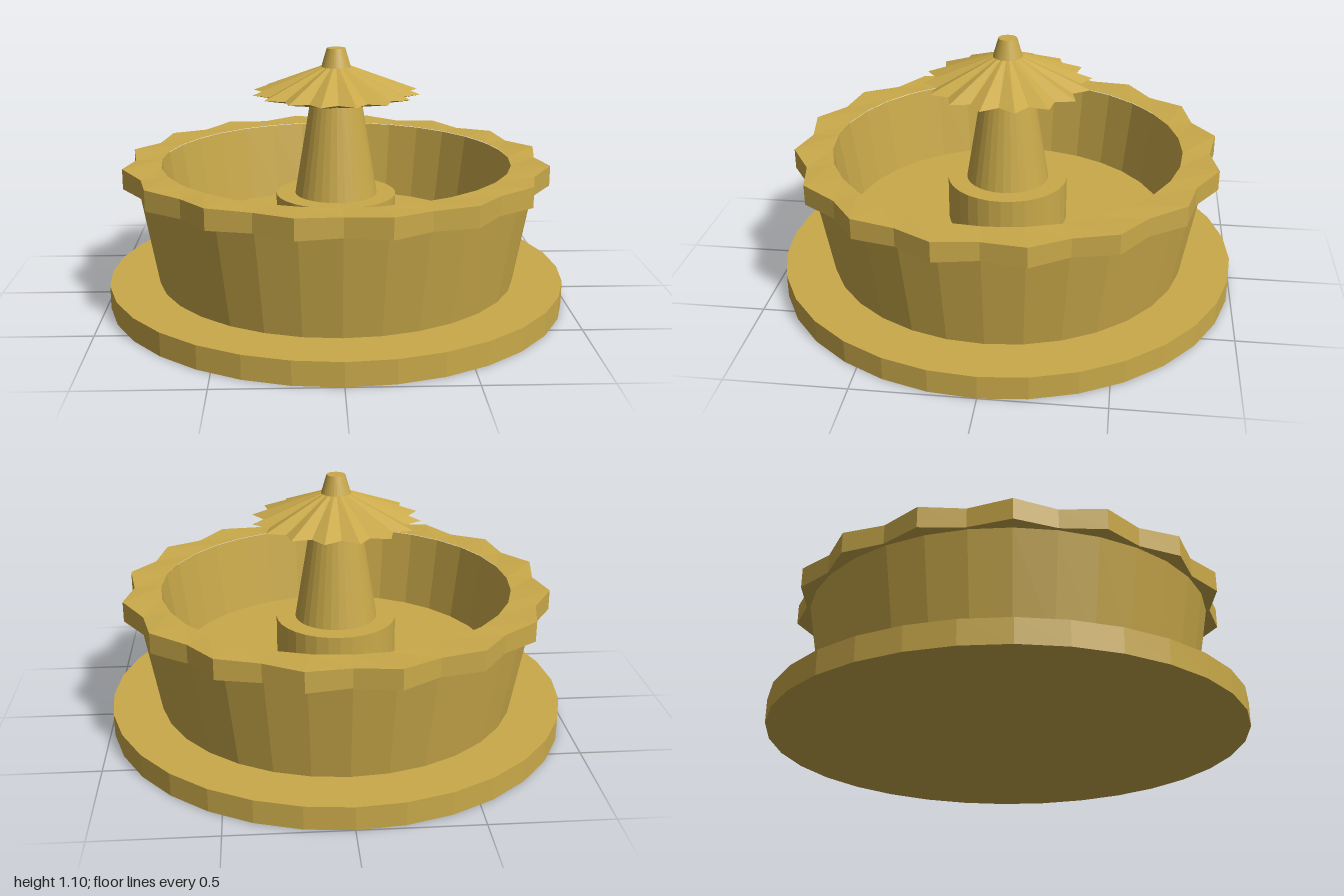
import * as THREE from 'three';

const SIDES = 32;
const stone = new THREE.MeshStandardMaterial({ color: 0xc9a94a, flatShading: true });

// Revolves a bottom-to-top outline of [radius, y]. An optional third value is the
// radius on every second rib, and a fourth its height, which gives scalloped edges.
function turned(name, outline) {
  const points = outline.map(([r, y]) => new THREE.Vector2(r, y));
  const geometry = new THREE.LatheGeometry(points, SIDES);
  const position = geometry.attributes.position;
  for (let rib = 1; rib < SIDES; rib += 2) {
    const angle = (rib / SIDES) * Math.PI * 2;
    outline.forEach(([r, y, ribR = r, ribY = y], j) => {
      position.setXYZ(rib * outline.length + j, ribR * Math.sin(angle), ribY, ribR * Math.cos(angle));
    });
  }
  geometry.computeVertexNormals();
  const mesh = new THREE.Mesh(geometry, stone);
  mesh.name = name;
  return mesh;
}

export function createModel() {
  const fountain = new THREE.Group();
  fountain.name = 'fountain';

  fountain.add(
    // Round plinth
    turned('base', [[0, 0], [1, 0], [1, 0.1], [0, 0.1]]),

    // Flared bowl with a hollow inside
    turned('basin', [[0, 0.1], [0.785, 0.1], [0.86, 0.53], [0.76, 0.61], [0.71, 0.265], [0, 0.265]]),

    // Overhanging lip with sixteen points
    turned('scallopedRim', [
      [0.76, 0.53], [0.875, 0.53, 0.925], [0.875, 0.61, 0.925, 0.617], [0.76, 0.612],
    ]),

    // Drum and tapered column in the middle of the bowl
    turned('pedestal', [[0.263, 0.265], [0.263, 0.46], [0, 0.46]]),
    turned('column', [[0.18, 0.46], [0.112, 0.87], [0, 0.87]]),

    // Fluted canopy, pointed like a star
    turned('canopy', [
      [0, 0.86], [0.105, 0.86, 0.12], [0.31, 0.908, 0.365], [0.062, 1.02, 0.07], [0, 1.02],
    ]),

    // Small spout on top
    turned('finial', [[0.065, 1.015], [0.04, 1.1], [0, 1.1]]),
  );
  return fountain;
}
